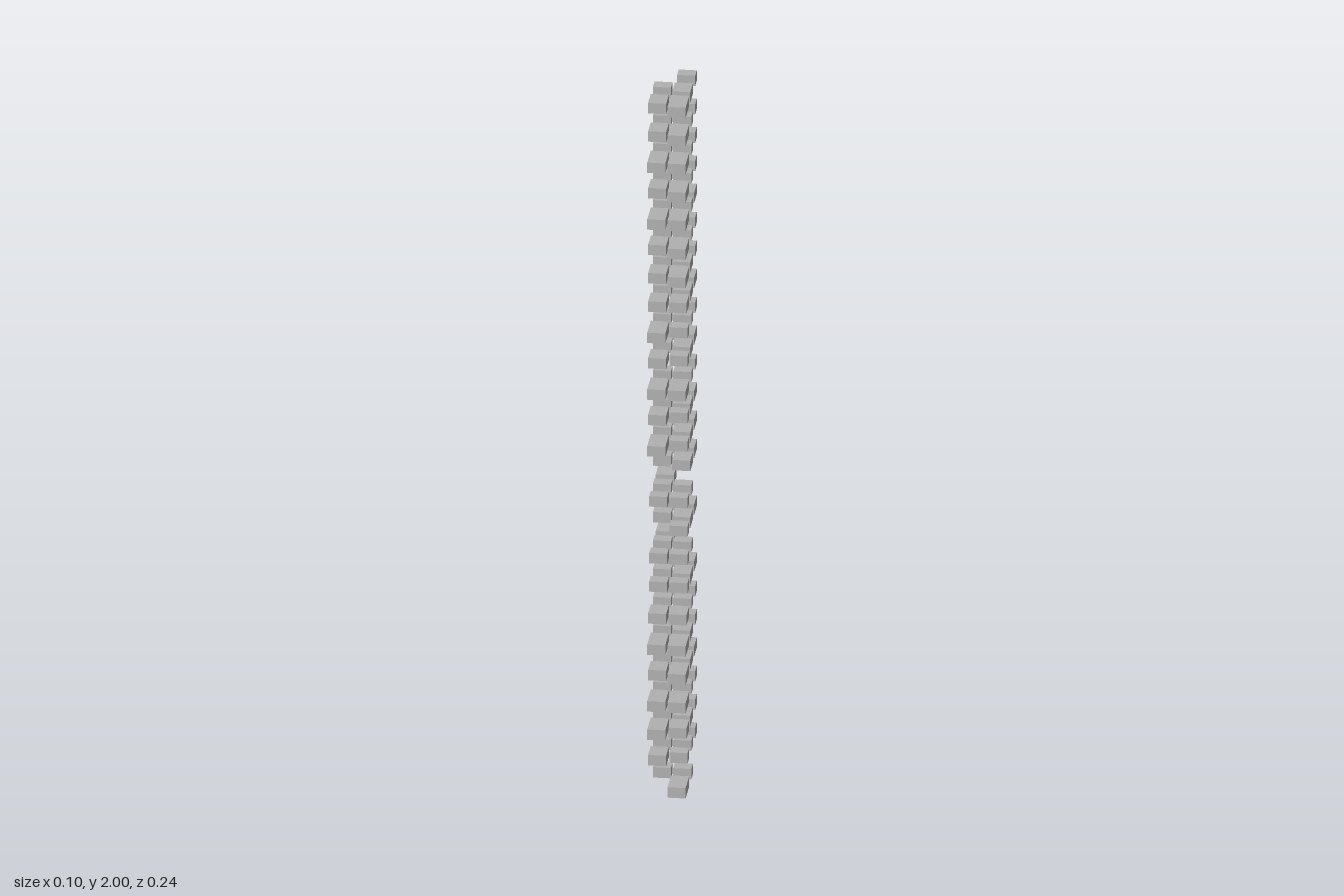
import * as THREE from 'three';

// Block depth by size letter; '-' means an empty slot.
const DEPTH = { S: 0.035, M: 0.058, L: 0.077 };

// Three columns, each with one letter per tier (top to bottom) for both sides.
const COLUMNS = [
  { name: 'front', back: 0.043, left: 'LLLLLLLMSSLSS-SSSSMLLLMSL', right: 'MMLMLMMMLMLML-S-SSMLMLLM-' },
  { name: 'middle', back: -0.038, left: 'MSSSSSMMSMSMMMSMSMSMMSMSS', right: 'SSSSSSSSSSSSSSSSSSSSSSSSS' },
  { name: 'rear', back: -0.121, left: 'SSSSMSSMSMSMMM-M-MSSMSSS-', right: '-MMSMMMS-S-MSSMSMSSSSSMS-' },
];

const TIERS = 25;
const BLOCK_WIDTH = 0.048;
const BLOCK_HEIGHT = 0.03;

export function createModel() {
  const model = new THREE.Group();
  model.name = 'blockTower';
  const grey = new THREE.MeshStandardMaterial({ color: 0xb0b0b0 });
  grey.name = 'grey';

  // One shared geometry per block size, with its rear face at z = 0.
  const blocks = {};
  for (const [size, depth] of Object.entries(DEPTH)) {
    blocks[size] = new THREE.BoxGeometry(BLOCK_WIDTH, BLOCK_HEIGHT, depth);
    blocks[size].translate(0, 0, depth / 2);
  }

  // Stack the floating blocks of each column on both sides.
  const pitch = (2 - BLOCK_HEIGHT) / (TIERS - 1);
  for (const column of COLUMNS) {
    for (const side of ['left', 'right']) {
      const stack = new THREE.Group();
      stack.name = `${column.name} ${side} stack`;
      stack.position.set(side === 'left' ? 0.0265 : -0.0275, 0, column.back);
      [...column[side]].forEach((size, tier) => {
        if (size === '-') return;
        const block = new THREE.Mesh(blocks[size], grey);
        block.name = 'block';
        block.position.y = 2 - BLOCK_HEIGHT / 2 - tier * pitch;
        stack.add(block);
      });
      model.add(stack);
    }
  }
  return model;
}
